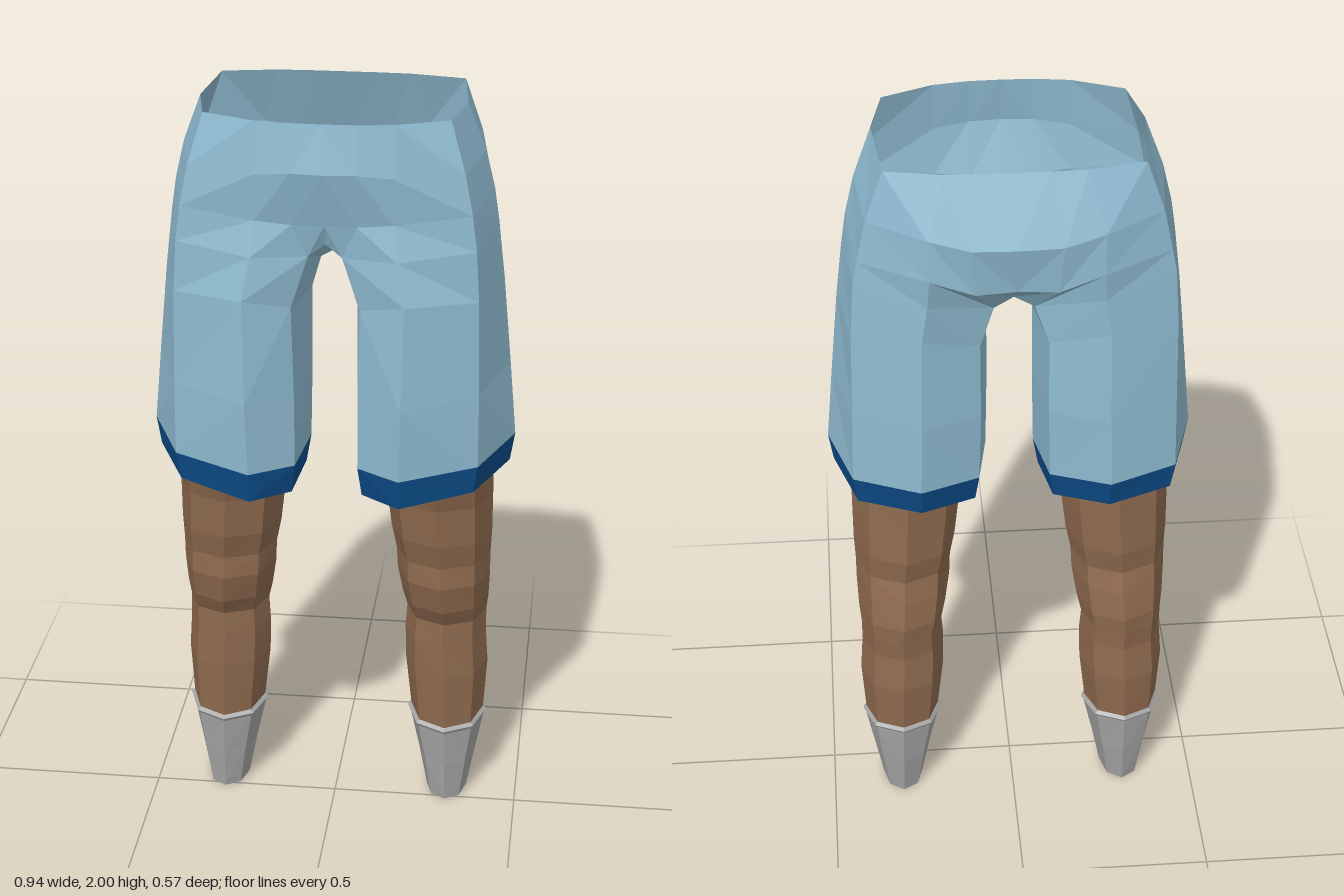
import * as THREE from 'three';

const mat = (name, color) => {
  const m = new THREE.MeshStandardMaterial({ color, flatShading: true, side: THREE.DoubleSide });
  m.name = name;
  return m;
};

// Faceted mesh from strips; each strip joins a lower row of points to an upper row
function stripMesh(name, material, strips, side) {
  const pos = [];
  const tri = (a, b, c) => {
    for (const p of side > 0 ? [a, b, c] : [a, c, b]) pos.push(p[0] * side, p[1], p[2]);
  };
  for (const [lo, hi] of strips) {
    for (let i = 0; i < lo.length - 1; i++) {
      tri(lo[i], hi[i], hi[i + 1]);
      tri(lo[i], hi[i + 1], lo[i + 1]);
    }
  }
  const g = new THREE.BufferGeometry();
  g.setAttribute('position', new THREE.Float32BufferAttribute(pos, 3));
  g.computeVertexNormals();
  const mesh = new THREE.Mesh(g, material);
  mesh.name = name;
  return mesh;
}

// Strips through a stack of rows, optionally closing each row into a loop
const loft = (rows, closed = true) => {
  const r = closed ? rows.map((row) => [...row, row[0]]) : rows;
  return r.slice(1).map((hi, i) => [r[i], hi]);
};

// Eight-sided oval ring from its limits; tilt lifts the back
function oval([y, xin, xout, zback, zfront], tilt = 0) {
  const ring = [];
  for (let i = 0; i < 8; i++) {
    const a = (i * Math.PI) / 4;
    ring.push([
      (xin + xout) / 2 + (Math.cos(a) * (xout - xin)) / 2,
      y - Math.sin(a) * tilt,
      (zback + zfront) / 2 + (Math.sin(a) * (zfront - zback)) / 2,
    ]);
  }
  return ring;
}

// Shorts leg rings: outer, outer front, front, inner front, inner, inner back, back, outer back
const hemBottom = [[.458, 1.045, .01], [.375, 1.03, .19], [.19, 1.005, .26], [.09, 1.005, .185],
  [.075, 1.01, 0], [.1, 1.025, -.165], [.24, 1.035, -.232], [.4, 1.045, -.18]];
const hemTop = [[.47, 1.12, .01], [.385, 1.105, .2], [.19, 1.085, .272], [.08, 1.085, .2],
  [.062, 1.085, 0], [.09, 1.1, -.18], [.24, 1.11, -.25], [.41, 1.12, -.19]];
const thigh = [[.452, 1.32, .01], [.384, 1.3, .205], [.195, 1.28, .282], [.08, 1.28, .205],
  [.058, 1.3, 0], [.085, 1.3, -.19], [.235, 1.3, -.252], [.405, 1.32, -.192]];
const groin = [[.43, 1.55, .01], [.378, 1.55, .207], [.2, 1.55, .272], [.085, 1.52, .215],
  [.058, 1.5, 0], [.085, 1.5, -.18], [.23, 1.56, -.25], [.4, 1.55, -.192]];
const arch = [[.412, 1.7, .01], [.37, 1.68, .207], [.18, 1.66, .255], [.042, 1.655, .215],
  [.035, 1.58, 0], [.05, 1.6, -.165], [.215, 1.66, -.25], [.39, 1.7, -.19]];

// Crotch points on the centre line and the half rows of the hips, back centre to front centre
const crotch = { front: [0, 1.685, .205], mid: [0, 1.6, 0], back: [0, 1.62, -.15] };
const hips = [
  [crotch.back, arch[5], arch[6], arch[7], arch[0], arch[1], arch[2], arch[3], crotch.front],
  [[0, 1.7, -.255], [.1, 1.7, -.265], [.21, 1.74, -.262], [.378, 1.76, -.19], [.4, 1.78, .01],
    [.358, 1.77, .206], [.17, 1.75, .238], [.08, 1.74, .232], [0, 1.74, .23]],
  [[0, 1.83, -.285], [.11, 1.83, -.28], [.21, 1.85, -.26], [.355, 1.87, -.19], [.376, 1.88, .015],
    [.338, 1.87, .2], [.17, 1.87, .25], [.08, 1.88, .264], [0, 1.88, .27]],
  [[0, 2, -.215], [.08, 2, -.215], [.17, 2, -.212], [.31, 2, -.185], [.33, 2, .03],
    [.3, 2, .18], [.17, 2, .235], [.08, 2, .248], [0, 2, .25]],
];

// Leg opening, where the skin meets the lining
const legTop = [[.415, 1.12, .02], [.33, 1.12, .135], [.22, 1.12, .18], [.15, 1.12, .11],
  [.13, 1.12, 0], [.175, 1.12, -.16], [.3, 1.12, -.175], [.4, 1.12, -.1]];

// Leg limits, ankle to thigh: y, inner x, outer x, back z, front z
const legRows = [
  [.25, .205, .403, -.19, .04], [.4, .188, .412, -.196, .045], [.5, .186, .405, -.184, .042],
  [.56, .19, .405, -.19, .04], [.61, .178, .41, -.195, .07], [.69, .165, .413, -.18, .09],
  [.75, .162, .413, -.163, .085], [.82, .148, .416, -.175, .105], [.93, .135, .416, -.172, .115],
  [1.01, .13, .416, -.172, .14],
];

// Sock limits, toe to lip
const sockRows = [
  [0, .252, .362, -.155, .015], [.12, .228, .384, -.175, .03],
  [.235, .202, .406, -.19, .042], [.245, .195, .412, -.198, .048], [.254, .205, .403, -.19, .04],
];

export function createModel() {
  const shortsBlue = mat('light blue cloth', 0x8fbbd1);
  const hemBlue = mat('dark blue trim', 0x0c4c88);
  const skin = mat('brown skin', 0x8e6a4e);
  const sockGrey = mat('grey sock', 0xa6a6a6);

  const model = new THREE.Group();
  model.name = 'legsInShorts';
  for (const side of [1, -1]) {
    const half = new THREE.Group();
    half.name = side > 0 ? 'leftSide' : 'rightSide';

    // Cloth: leg tube, crotch bridge and open-topped hips
    half.add(stripMesh('shorts', shortsBlue, [
      ...loft([hemTop, thigh, groin, arch]),
      [[arch[3], arch[4], arch[5]], [crotch.front, crotch.mid, crotch.back]],
      ...loft(hips, false),
    ], side));

    // Trim band, with lining rising inward to the leg
    half.add(stripMesh('hem', hemBlue, loft([legTop, hemBottom, hemTop]), side));

    // Bare leg
    half.add(stripMesh('leg', skin,
      loft([...legRows.map((r, i) => oval(r, i === 0 ? .012 : 0)), legTop]), side));

    // Sock, open at the foot, with a small lip
    half.add(stripMesh('sock', sockGrey,
      loft(sockRows.map((r, i) => oval(r, i > 1 ? .012 : 0))), side));

    model.add(half);
  }
  return model;
}
